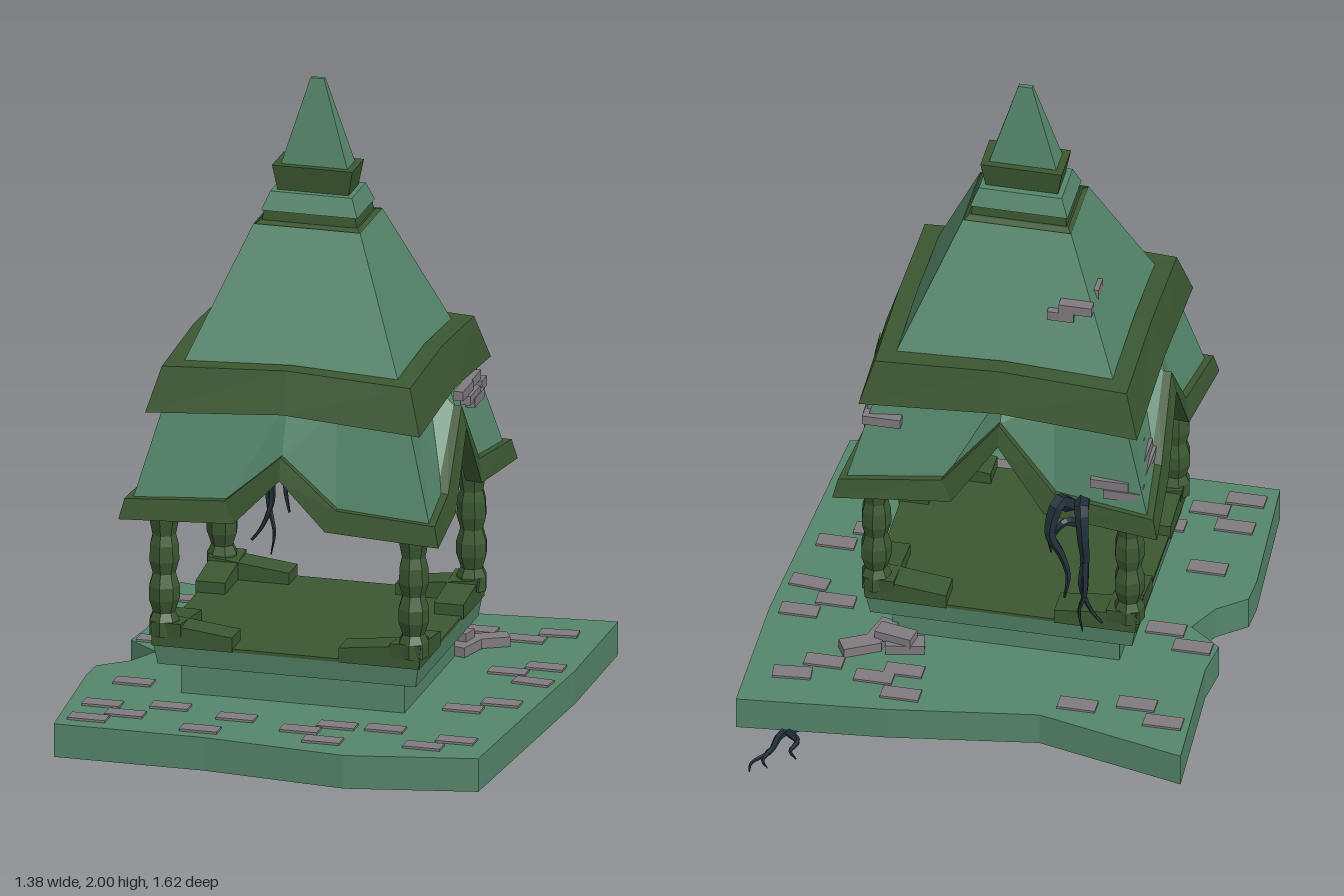
import * as THREE from 'three';

const mat = (color) => new THREE.MeshStandardMaterial({ color, flatShading: true, side: THREE.DoubleSide });
const GREEN = mat(0x55866a), DARK = mat(0x3b5731), STONE = mat(0x7f7a7f), VINE = mat(0x22303a);

function add(parent, name, geometry, material, x = 0, y = 0, z = 0) {
  const mesh = new THREE.Mesh(geometry, material);
  mesh.name = name;
  mesh.position.set(x, y, z);
  parent.add(mesh);
  return mesh;
}

// Skin a stack of closed rings, optionally capping both ends
function loft(rings, caps = false) {
  const pos = [], tri = (a, b, c) => pos.push(...a, ...b, ...c), n = rings[0].length;
  for (let k = 0; k < rings.length - 1; k++) {
    for (let i = 0; i < n; i++) {
      const j = (i + 1) % n, r = rings[k], s = rings[k + 1];
      tri(r[i], r[j], s[j]);
      tri(r[i], s[j], s[i]);
    }
  }
  if (caps) {
    const lo = rings[0], hi = rings[rings.length - 1];
    for (let i = 1; i < n - 1; i++) {
      tri(lo[0], lo[i + 1], lo[i]);
      tri(hi[0], hi[i], hi[i + 1]);
    }
  }
  const g = new THREE.BufferGeometry();
  g.setAttribute('position', new THREE.Float32BufferAttribute(pos, 3));
  g.computeVertexNormals();
  return g;
}

// Rectangle with a midpoint on each side; the midpoints may be raised
function rect(hx, hz, y, rise = 0) {
  const m = y + rise;
  return [[hx, y, hz], [hx, m, 0], [hx, y, -hz], [0, m, -hz],
    [-hx, y, -hz], [-hx, m, 0], [-hx, y, hz], [0, m, hz]];
}

// Eave outline: every side has a peaked notch in the middle. Sides: right, back, left, front
const OUT = [[1, 0], [0, -1], [-1, 0], [0, 1]];
const INSET = [0.035, 0.045, 0.035, 0.01];
function eave(hx, hz, cornerY, footY, foot, peaks) {
  const ring = [];
  OUT.forEach(([ox, oz], s) => {
    const out = s % 2 ? hz : hx, half = s % 2 ? hx : hz, d = INSET[s];
    const put = (u, o, y) => ring.push([ox * o + oz * u, y, oz * o - ox * u]);
    put(-half, out, cornerY);
    put(-foot, out - d * 0.8, footY);
    put(0, out - d, peaks[s]);
    put(foot, out - d * 0.8, footY);
  });
  return ring;
}

// Tapered creeper following a few points
function vine(parent, points, r) {
  const curve = new THREE.CatmullRomCurve3(points.map((p) => new THREE.Vector3(...p)));
  const n = 20, sides = 5, g = new THREE.TubeGeometry(curve, n, r, sides);
  const p = g.attributes.position, v = new THREE.Vector3();
  for (let i = 0; i < p.count; i++) {
    const t = Math.floor(i / (sides + 1)) / n;
    v.fromBufferAttribute(p, i).lerp(curve.getPointAt(t), 0.85 * t);
    p.setXYZ(i, v.x, v.y, v.z);
  }
  g.computeVertexNormals();
  add(parent, 'vine', g, VINE);
}

function brick(parent, name, x, y, z, turn = 0, tilt = 0, size = [0.115, 0.03, 0.055]) {
  add(parent, name, new THREE.BoxGeometry(...size), STONE, x, y, z).rotation.set(0, turn, tilt);
}

export function createModel() {
  const model = new THREE.Group();
  model.name = 'shrine';

  // Irregular ground slab
  const outline = [[-0.655, -0.58], [-0.205, -0.47], [0.24, -0.54], [0.685, -0.585], [0.685, -0.12],
    [0.63, 0.73], [0.24, 0.81], [-0.2, 0.765], [-0.66, 0.765], [-0.69, 0.31], [-0.685, 0.22],
    [-0.6, 0.15], [-0.55, 0.05], [-0.65, -0.03], [-0.635, -0.15]];
  const slab = new THREE.ExtrudeGeometry(new THREE.Shape(outline.map(([x, z]) => new THREE.Vector2(x, -z))),
    { depth: 0.103, bevelEnabled: false });
  add(model, 'groundSlab', slab.rotateX(-Math.PI / 2), GREEN, 0, 0.04, 0);

  // Paving bricks
  [[-0.57, -0.43], [-0.475, -0.36], [-0.305, -0.4], [0.215, -0.46], [0.31, -0.395], [0.23, -0.345],
    [0.47, -0.35], [0.55, -0.425, 0.1], [0.595, -0.12], [0.5, -0.05], [0.595, 0.02, -0.1], [0.56, 0.23],
    [0.465, 0.31], [-0.575, -0.05], [-0.48, 0.02], [-0.535, 0.34], [-0.57, 0.555], [-0.48, 0.625],
    [-0.575, 0.69], [-0.37, 0.525], [-0.155, 0.57], [-0.23, 0.7], [0.15, 0.56], [0.295, 0.55],
    [0.055, 0.625], [0.145, 0.7], [0.445, 0.67], [0.525, 0.595]]
    .forEach(([x, z, turn]) => brick(model, 'pavingBrick', x, 0.135, z, turn));

  // Fallen bricks behind the pedestal
  [[0.25, 0.16, -0.24, 0.2], [0.33, 0.16, -0.2, 1.3], [0.28, 0.185, -0.23, -0.2], [0.38, 0.16, -0.27, 0.5]]
    .forEach((b) => brick(model, 'fallenBrick', ...b));

  const tower = new THREE.Group();
  tower.name = 'tower';
  tower.position.set(-0.035, 0, 0.117);
  model.add(tower);

  // Pedestal and floor
  add(tower, 'pedestal', new THREE.BoxGeometry(0.685, 0.12, 0.545), GREEN, 0, 0.195, 0);
  add(tower, 'plinth', loft([rect(0.395, 0.338, 0.25), rect(0.405, 0.348, 0.312)], true), GREEN);
  add(tower, 'floor', loft([rect(0.405, 0.348, 0.31), rect(0.405, 0.348, 0.32)], true), DARK);

  // Corner curbs and turned posts, mirrored to the four corners
  const curb = (from, to) => new THREE.ExtrudeGeometry(new THREE.Shape([[from, 0.31], [to, 0.31],
    [to + 0.008, 0.385], [from, 0.355]].map((p) => new THREE.Vector2(...p))), { depth: 0.09, bevelEnabled: false });
  const postProfile = [[0.046, 0.34], [0.046, 0.385], [0.034, 0.41], [0.047, 0.45], [0.047, 0.49], [0.035, 0.53],
    [0.046, 0.57], [0.044, 0.62], [0.036, 0.65], [0.048, 0.71], [0.048, 0.8]].map((p) => new THREE.Vector2(...p));
  for (const sx of [1, -1]) {
    for (const sz of [1, -1]) {
      const corner = new THREE.Group();
      corner.name = 'corner';
      corner.scale.set(sx, 1, sz);
      tower.add(corner);
      add(corner, 'frontCurb', curb(0.163, 0.406), DARK, 0, 0, 0.262);
      add(corner, 'sideCurb', curb(0.123, 0.349).rotateY(-Math.PI / 2), DARK, 0.41, 0, 0);
      add(corner, 'post', new THREE.LatheGeometry(postProfile, 7), DARK, 0.382, 0, 0.317);
    }
  }

  // Notched lower roof with its eave trim
  const low = [0.95, 0.95, 0.95, 0.88], high = [1.02, 1.02, 1.02, 0.95];
  const section = [eave(0.49, 0.428, 0.72, 0.735, 0.14, low), eave(0.475, 0.415, 0.782, 0.8, 0.17, high),
    eave(0.432, 0.372, 0.785, 0.803, 0.17, high), eave(0.44, 0.378, 0.725, 0.738, 0.14, low)];
  add(tower, 'eaveTrim', loft([...section, section[0]]), DARK);
  add(tower, 'lowerRoof', loft([eave(0.455, 0.398, 0.775, 0.795, 0.165, high.map((y) => y - 0.005)),
    eave(0.37, 0.335, 1.08, 1.09, 0.15, [1.1, 1.1, 1.1, 1.1])]), GREEN);

  // Upper trim band and steep roof
  const band = [rect(0.42, 0.385, 1.045, 0.03), rect(0.38, 0.345, 1.18, 0.02),
    rect(0.325, 0.29, 1.185, 0.015), rect(0.365, 0.33, 1.055, 0.03)];
  add(tower, 'bandTrim', loft([...band, band[0]]), DARK);
  add(tower, 'upperRoof', loft([rect(0.337, 0.3, 1.16), rect(0.163, 0.12, 1.57)]), GREEN);

  // Stacked finial: name, material, [half x, half z, y] at bottom and top
  [['roofCap', DARK, [0.163, 0.12, 1.565], [0.15, 0.1, 1.575]],
    ['collar', DARK, [0.145, 0.094, 1.57], [0.14, 0.09, 1.61]],
    ['neck', GREEN, [0.147, 0.096, 1.605], [0.125, 0.075, 1.66]],
    ['crownBlock', DARK, [0.108, 0.054, 1.655], [0.123, 0.063, 1.737]],
    ['spire', GREEN, [0.102, 0.042, 1.735], [0.021, 0.007, 2]]]
    .forEach(([name, m, a, b]) => add(tower, name, loft([rect(...a), rect(...b)], true), m));

  // Exposed brick patches: lower roof (right and back left) and upper roof
  const bar = [0.03, 0.028, 0.11];
  [[0.36, 1.005, -0.06], [0.368, 0.975, -0.11], [0.37, 0.955, -0.15], [0.355, 1.005, -0.16]]
    .forEach(([x, y, z]) => brick(model, 'roofBrick', x, y, z, 0, 0, bar));
  brick(model, 'roofBrick', 0.32, 0.975, -0.225);
  [[-0.445, 0.83, -0.14], [-0.435, 0.86, -0.08], [-0.445, 0.83, -0.04], [-0.42, 0.89, -0.12]]
    .forEach(([x, y, z]) => brick(model, 'roofBrick', x, y, z, 0, 0, bar));
  [[-0.41, 0.83, -0.24], [-0.37, 0.86, -0.235]].forEach((b) => brick(model, 'roofBrick', ...b));
  brick(model, 'roofBrick', -0.235, 1.375, -0.1, 0, 0, [0.1, 0.03, 0.035]);
  brick(model, 'roofBrick', -0.19, 1.345, -0.1, 0, 0, [0.08, 0.03, 0.035]);
  brick(model, 'roofBrick', -0.278, 1.38, 0.0, 0, 0, [0.018, 0.03, 0.06]);
  brick(model, 'roofBrick', -0.275, 1.35, 0.04, 0, 0, [0.018, 0.03, 0.08]);

  // Creepers hanging from the back eave
  vine(model, [[-0.29, 0.78, -0.26], [-0.3, 0.82, -0.32], [-0.31, 0.72, -0.345], [-0.31, 0.62, -0.32],
    [-0.3, 0.52, -0.32], [-0.33, 0.43, -0.315], [-0.36, 0.39, -0.31]], 0.026);
  vine(model, [[-0.31, 0.62, -0.32], [-0.31, 0.5, -0.325], [-0.29, 0.42, -0.31], [-0.3, 0.35, -0.31]], 0.014);
  vine(model, [[-0.25, 0.78, -0.27], [-0.23, 0.82, -0.32], [-0.21, 0.72, -0.345], [-0.24, 0.64, -0.33],
    [-0.26, 0.56, -0.325], [-0.25, 0.48, -0.33]], 0.026);
  vine(model, [[-0.28, 0.74, -0.3], [-0.25, 0.76, -0.335], [-0.21, 0.69, -0.34], [-0.21, 0.64, -0.33]], 0.016);

  // Roots creeping out from under the slab
  vine(model, [[0.52, 0.012, -0.51], [0.53, 0.03, -0.56], [0.49, 0.05, -0.63], [0.5, 0.05, -0.68], [0.475, 0.055, -0.72]], 0.018);
  vine(model, [[0.53, 0.015, -0.52], [0.55, 0.04, -0.6], [0.56, 0.05, -0.7], [0.6, 0.045, -0.75], [0.595, 0.055, -0.81]], 0.016);
  vine(model, [[0.56, 0.05, -0.69], [0.57, 0.05, -0.74], [0.545, 0.06, -0.79]], 0.009);
  return model;
}
